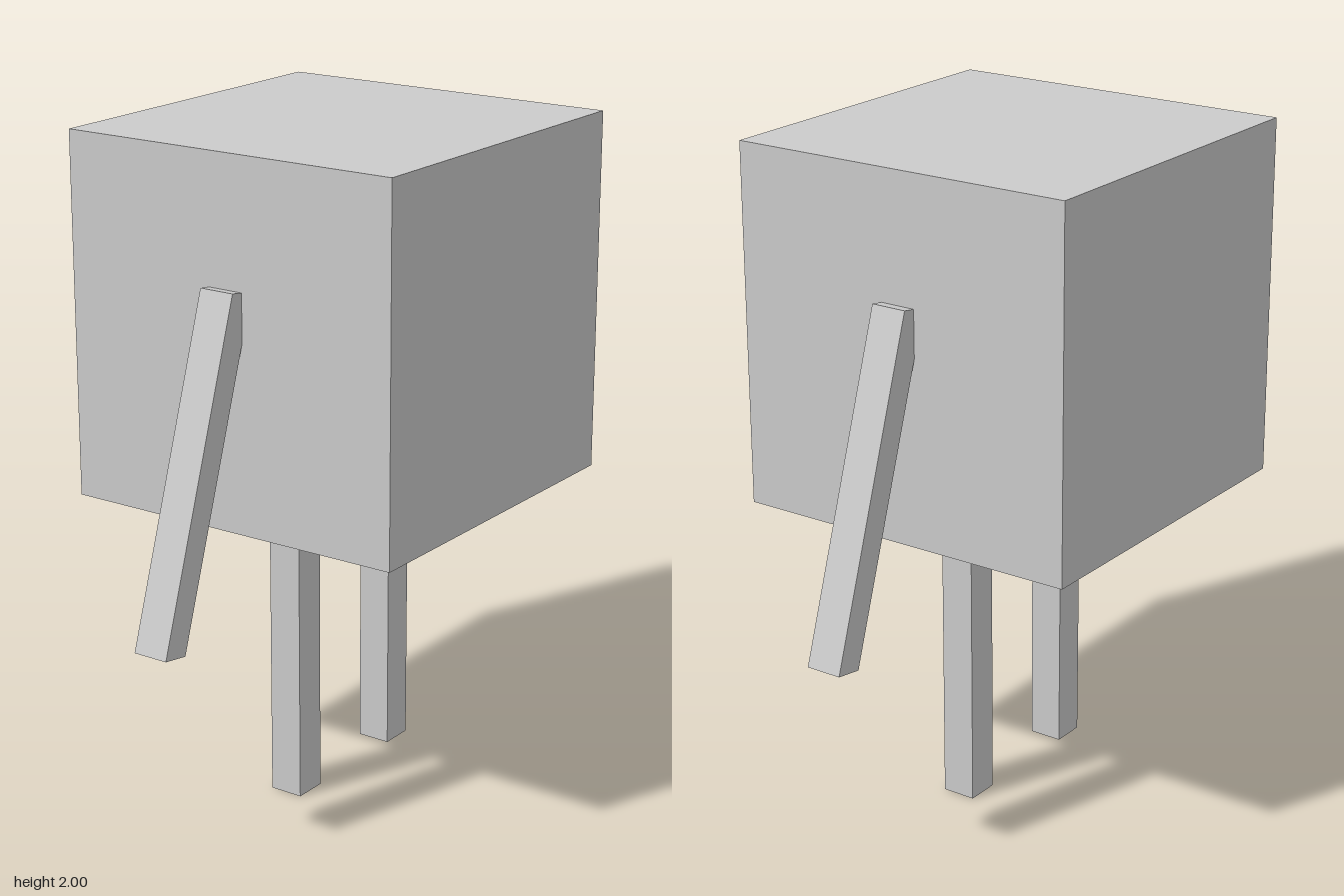
import * as THREE from 'three';

const material = new THREE.MeshStandardMaterial({ color: 0xcccccc, flatShading: true });

function addPart(group, name, geometry, x = 0, y = 0, z = 0) {
  const mesh = new THREE.Mesh(geometry, material);
  mesh.name = name;
  mesh.position.set(x, y, z);
  group.add(mesh);
}

// Slanted arm: a skewed bar whose upper end sinks into the body
function armGeometry(side) {
  const depth = 0.11;
  const outline = [[0.585, 1.625], [0.5, 1.612], [0.82, 0.645], [0.905, 0.658]];
  const shape = new THREE.Shape(outline.map(([x, y]) => new THREE.Vector2(side * x, y)));
  return new THREE.ExtrudeGeometry(shape, { depth, bevelEnabled: false }).translate(0, 0, -depth / 2);
}

export function createModel() {
  const model = new THREE.Group();
  model.name = 'boxFigure';

  // Cube body
  addPart(model, 'body', new THREE.BoxGeometry(1.09, 1.085, 1.09), 0, 1.4575, 0);

  // Mirrored arms and legs
  for (const [label, side] of [['left', 1], ['right', -1]]) {
    addPart(model, label + 'Arm', armGeometry(side));
    addPart(model, label + 'Leg', new THREE.BoxGeometry(0.104, 0.93, 0.104), side * 0.232, 0.465, 0);
  }
  return model;
}
